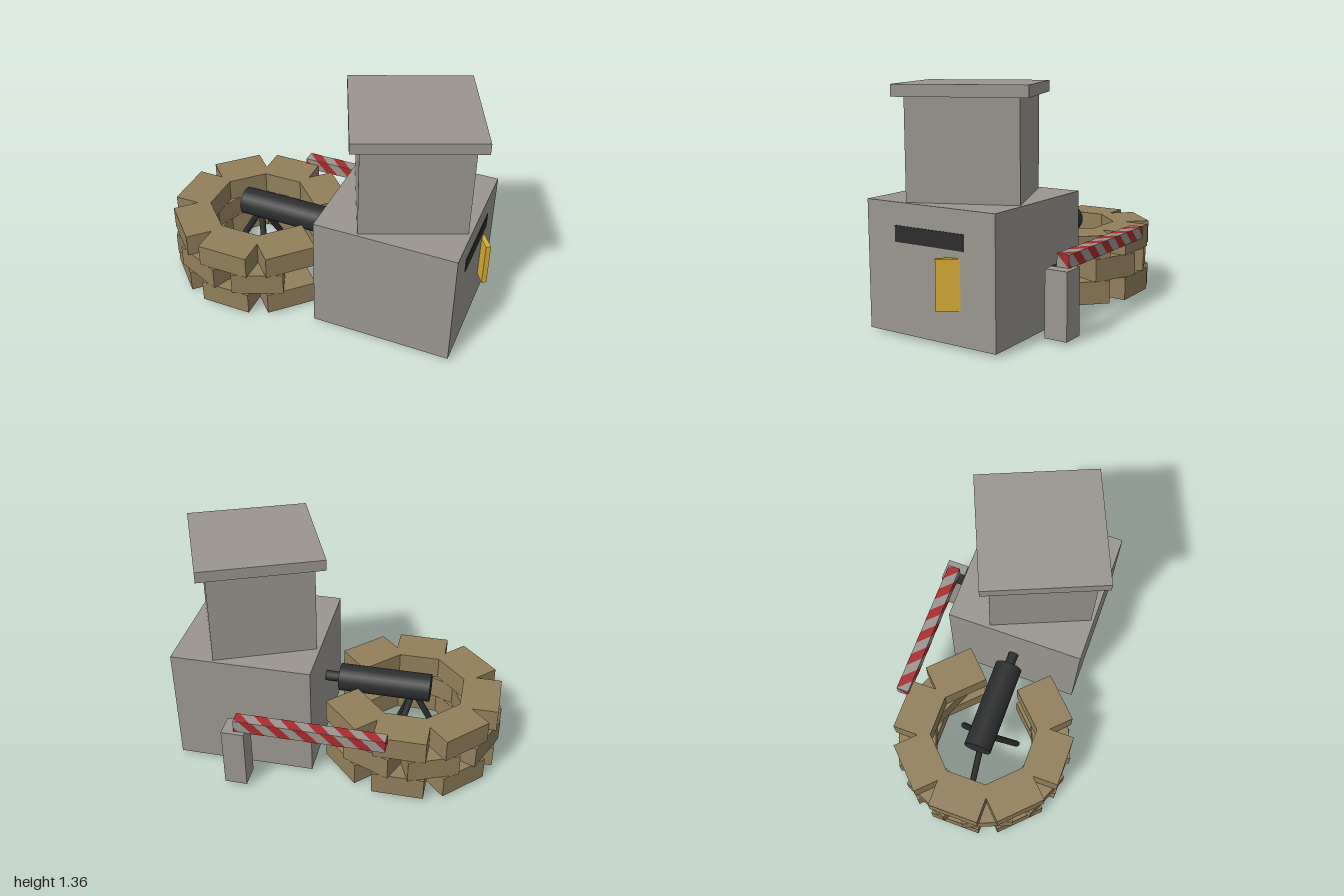
import * as THREE from 'three';

const mat = (name, color, side = THREE.FrontSide) => {
  const m = new THREE.MeshStandardMaterial({ color, side });
  m.name = name;
  return m;
};

// Keeps the part of a flat polygon between u = 0 and u = max
function clipStrip(points, max) {
  const cut = (pts, inside, edge) => pts.flatMap((p, i) => {
    const q = pts[(i + 1) % pts.length];
    const out = inside(p) ? [p] : [];
    if (inside(p) !== inside(q)) {
      const t = (edge - p[0]) / (q[0] - p[0]);
      out.push([edge, p[1] + t * (q[1] - p[1])]);
    }
    return out;
  });
  return cut(cut(points, p => p[0] >= 0, 0), p => p[0] <= max, max);
}

export function createModel() {
  const root = new THREE.Group();
  root.name = 'checkpoint';
  const concrete = mat('concrete grey', 0x9a968f);
  const sand = mat('sandbag tan', 0x927f5b);
  const black = mat('gun black', 0x2c2d2e);
  const red = mat('stripe red', 0xa92b2d);
  const yellow = mat('door yellow', 0xd6ae35);

  const add = (name, geo, material, x, y, z, ry = 0, parent = root) => {
    const m = new THREE.Mesh(geo, material);
    m.name = name;
    m.position.set(x, y, z);
    m.rotation.y = ry;
    parent.add(m);
    return m;
  };
  const box = (w, h, d) => new THREE.BoxGeometry(w, h, d);

  // Bunker: square base, turned tower and overhanging roof slab
  const turn = 0.401;
  add('bunkerBase', box(0.835, 0.72, 0.835), concrete, 0.508, 0.38, 0.033);
  add('bunkerTower', box(0.61, 0.555, 0.61), concrete, 0.51, 1.0175, 0.033, turn);
  add('bunkerRoof', box(0.717, 0.065, 0.717), concrete, 0.51, 1.3275, 0.033, turn);
  add('viewSlit', box(0.006, 0.09, 0.45), black, 0.926, 0.57, 0.035);
  // Flap standing ajar from the wall
  add('yellowFlap', box(0.03, 0.275, 0.2), yellow, 0.928, 0.3475, -0.135, 0.588);

  // Sandbag ring: three courses, the middle one offset by half a bag
  const bags = new THREE.Group();
  bags.name = 'sandbagRing';
  bags.position.set(-0.45, 0, 0.033);
  root.add(bags);
  const bagGeo = box(0.23, 0.14, 0.31);
  for (let course = 0; course < 3; course++) {
    const odd = course === 1;
    for (let i = 0; i < (odd ? 6 : 7); i++) {
      const a = Math.PI * ((odd ? 0.375 : 0.25) + i * 0.25);
      add('sandbag', bagGeo, sand, Math.cos(a) * 0.415, 0.09 + course * 0.14,
        -Math.sin(a) * 0.415, a, bags);
    }
  }

  // Gun on a tripod
  const gun = new THREE.Group();
  gun.name = 'gun';
  root.add(gun);
  const body = new THREE.CylinderGeometry(0.085, 0.085, 0.56, 24).rotateZ(Math.PI / 2);
  add('gunBody', body, black, -0.28, 0.435, 0.033, 0, gun);
  const barrel = new THREE.CylinderGeometry(0.032, 0.032, 0.14, 12).rotateZ(Math.PI / 2);
  add('gunBarrel', barrel, black, 0.05, 0.432, 0.033, 0, gun);
  const top = new THREE.Vector3(-0.455, 0.4, 0.033);
  for (let i = 0; i < 3; i++) {
    const a = Math.PI / 3 + (i * Math.PI * 2) / 3;
    const foot = new THREE.Vector3(top.x + Math.cos(a) * 0.215, 0.01, top.z + Math.sin(a) * 0.215);
    const dir = top.clone().sub(foot);
    const leg = add('tripodLeg', new THREE.CylinderGeometry(0.02, 0.02, dir.length(), 8), black,
      (top.x + foot.x) / 2, (top.y + foot.y) / 2, (top.z + foot.z) / 2, 0, gun);
    leg.quaternion.setFromUnitVectors(new THREE.Vector3(0, 1, 0), dir.normalize());
  }

  // Barrier post with a dark socket on top
  add('barrierPost', box(0.135, 0.38, 0.135), concrete, 0.51, 0.21, -0.525);
  add('postSocket', box(0.07, 0.006, 0.03), black, 0.475, 0.4, -0.474);

  // Barrier boom with a spiral of stripes over its four long faces
  const L = 0.89, S = 0.075, pitch = 0.158;
  const boom = new THREE.Group();
  boom.name = 'barrierBoom';
  boom.position.set(-0.38, 0.435, -0.5275);
  root.add(boom);
  add('boomBar', box(L, S, S), concrete, L / 2, 0, 0, 0, boom);
  const flat = pts => new THREE.ShapeGeometry(new THREE.Shape(pts.map(p => new THREE.Vector2(...p))));
  for (let side = 0; side < 4; side++) {
    const face = new THREE.Group();
    face.name = 'boomStripes';
    // side 0 is the top, then front, bottom and back
    face.rotation.x = -Math.PI / 2 + (side * Math.PI) / 2;
    boom.add(face);
    for (let i = -2; i < 7; i++) {
      const u = i * pitch + ((side * S) % pitch);
      const w = pitch / 2;
      const pts = clipStrip([[u + S, -S / 2], [u + S + w, -S / 2], [u + w, S / 2], [u, S / 2]], L);
      if (pts.length > 2) add('stripe', flat(pts), red, 0, 0, S / 2 + 0.0015, 0, face);
    }
  }
  const h = S / 2;
  for (const s of [1, -1]) {
    add('endStripe', flat([[-h, h], [h, -h], [h, h]]), red,
      s > 0 ? L + 0.0015 : -0.0015, 0, 0, (s * Math.PI) / 2, boom);
  }
  return root;
}
